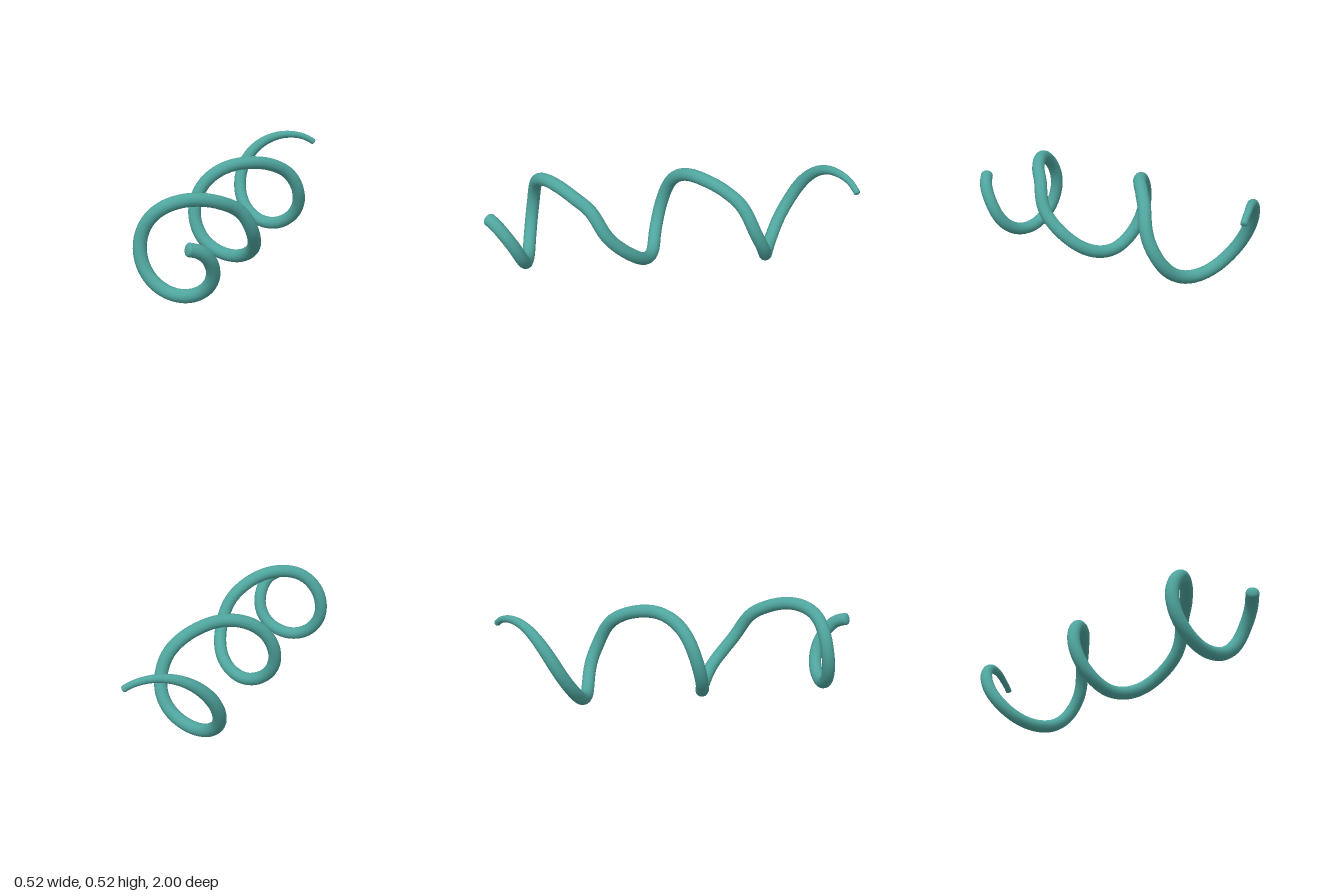
import * as THREE from 'three';

// Coil stations: angle in degrees, z, coil radius
const STATIONS = [
  [33, 0.97, 0.155], [17, 0.92, 0.187], [-14, 0.845, 0.207], [-45, 0.805, 0.22], [-90, 0.787, 0.225],
  [-135, 0.775, 0.225], [-180, 0.752, 0.225], [-238, 0.71, 0.225], [-270, 0.635, 0.225],
  [-300, 0.53, 0.225], [-322, 0.44, 0.225], [-360, 0.35, 0.225], [-405, 0.195, 0.225],
  [-450, 0.108, 0.225], [-495, 0.075, 0.225], [-540, 0.03, 0.225], [-588, -0.04, 0.225],
  [-630, -0.155, 0.225], [-660, -0.28, 0.225], [-682, -0.36, 0.225], [-720, -0.432, 0.225],
  [-749, -0.48, 0.225], [-810, -0.535, 0.225], [-855, -0.605, 0.225], [-900, -0.705, 0.225],
  [-958, -0.835, 0.225], [-990, -0.91, 0.224], [-1010, -0.955, 0.224], [-1029, -0.985, 0.224],
];
const CENTER_Y = 0.26, TUBE = 0.035, SEGMENTS = 260, SIDES = 16;

// Thickness along the coil: slim tail at the back
const thickness = (t) => TUBE * (1 - 0.5 * THREE.MathUtils.smoothstep(t, 0.88, 1));

export function createModel() {
  const group = new THREE.Group();
  group.name = 'coil';
  const material = new THREE.MeshStandardMaterial({ color: 0x4fa59e });

  // Smooth the stations, then wrap them around the axis
  const stations = new THREE.CatmullRomCurve3(
    STATIONS.map(([a, z, r]) => new THREE.Vector3(THREE.MathUtils.degToRad(a), z, r)));
  const points = stations.getPoints(140).map(({ x: a, y: z, z: r }) =>
    new THREE.Vector3(r * Math.cos(a), CENTER_Y + r * Math.sin(a), z));
  const path = new THREE.CatmullRomCurve3(points);
  path.arcLengthDivisions = 1000;

  // Tapered tube
  const geometry = new THREE.TubeGeometry(path, SEGMENTS, 1, SIDES, false);
  const position = geometry.attributes.position, normal = geometry.attributes.normal;
  for (let i = 0; i <= SEGMENTS; i++) {
    const center = path.getPointAt(i / SEGMENTS), radius = thickness(i / SEGMENTS);
    for (let j = 0; j <= SIDES; j++) {
      const k = i * (SIDES + 1) + j;
      const p = new THREE.Vector3().fromBufferAttribute(normal, k).multiplyScalar(radius).add(center);
      position.setXYZ(k, p.x, p.y, p.z);
    }
  }
  const tube = new THREE.Mesh(geometry, material);
  tube.name = 'spiralTube';
  group.add(tube);

  // Shallow domed ends
  for (const [name, t, sign] of [['frontCap', 0, -1], ['backCap', 1, 1]]) {
    const radius = thickness(t);
    const cap = new THREE.Mesh(
      new THREE.SphereGeometry(radius, SIDES, 6, 0, Math.PI * 2, 0, Math.PI / 2), material);
    cap.name = name;
    cap.scale.y = 0.5;
    cap.position.copy(path.getPointAt(t));
    cap.quaternion.setFromUnitVectors(
      new THREE.Vector3(0, 1, 0), path.getTangentAt(t).multiplyScalar(sign));
    group.add(cap);
  }
  return group;
}
